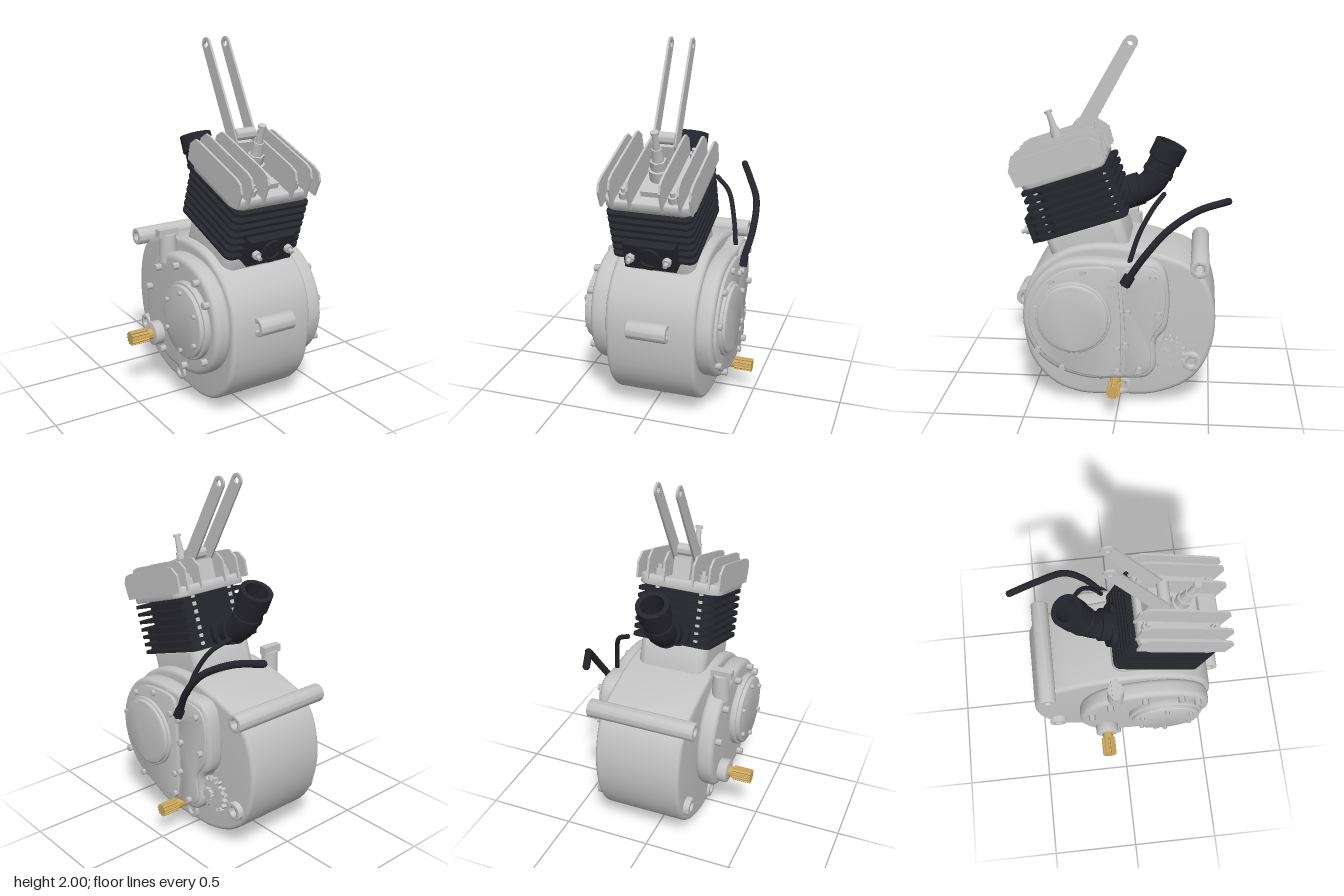
import * as THREE from 'three';
import { toCreasedNormals } from 'three/addons/utils/BufferGeometryUtils.js';

const mat = (name, color) => {
  const m = new THREE.MeshStandardMaterial({ color });
  m.name = name;
  return m;
};

export function createModel() {
  const metal = mat('cast metal', 0xc4c4c4);
  const black = mat('black enamel', 0x25252d);
  const brass = mat('brass', 0xcda95e);
  const root = new THREE.Group();
  root.name = 'engine';

  const add = (parent, name, geo, material, x = 0, y = 0, z = 0) => {
    const m = new THREE.Mesh(geo, material);
    m.name = name;
    m.position.set(x, y, z);
    parent.add(m);
    return m;
  };
  const box = (w, h, d) => new THREE.BoxGeometry(w, h, d);

  // Shapes lie in the side plane; points are given as [z, y]
  const smooth = (pts) => {
    const c = new THREE.CatmullRomCurve3(pts.map(([z, y]) => new THREE.Vector3(-z, y, 0)), true);
    return new THREE.Shape(c.getPoints(72).slice(0, -1).map((p) => new THREE.Vector2(p.x, p.y)));
  };
  const roundRect = (w, h, r) => {
    const s = new THREE.Shape(), a = w / 2, b = h / 2;
    s.absarc(a - r, b - r, r, 0, Math.PI / 2);
    s.absarc(-a + r, b - r, r, Math.PI / 2, Math.PI);
    s.absarc(-a + r, -b + r, r, Math.PI, Math.PI * 1.5);
    s.absarc(a - r, -b + r, r, Math.PI * 1.5, Math.PI * 2);
    return s;
  };
  const ring = (r, hole) => {
    const s = new THREE.Shape();
    s.absarc(0, 0, r, 0, Math.PI * 2);
    if (hole) s.holes.push(new THREE.Path().absarc(0, 0, hole, 0, Math.PI * 2, true));
    return s;
  };
  const gear = (rIn, rOut, n) => {
    const pts = [];
    for (let i = 0; i < n; i++) {
      [[0, rIn], [0.45, rIn], [0.55, rOut], [0.9, rOut]].forEach(([f, r]) => {
        const a = ((i + f) / n) * Math.PI * 2;
        pts.push(new THREE.Vector2(Math.cos(a) * r, Math.sin(a) * r));
      });
    }
    return new THREE.Shape(pts);
  };
  const extrude = (shape, depth, bevel, curveSegments = 20) => {
    const g = new THREE.ExtrudeGeometry(shape, {
      depth: depth - 2 * bevel, bevelEnabled: bevel > 0, bevelSize: bevel, bevelThickness: bevel,
      bevelOffset: -bevel, bevelSegments: 4, curveSegments,
    });
    return g.translate(0, 0, bevel);
  };
  // Extrusion along x from x0 to x1
  const sideways = (shape, x0, x1, bevel = 0) =>
    toCreasedNormals(extrude(shape, x1 - x0, bevel).rotateY(Math.PI / 2).translate(x0, 0, 0), 0.6);
  // Flat rounded slab standing on its origin
  const slab = (w, d, h, r, bevel = 0) =>
    toCreasedNormals(extrude(roundRect(w, d, r), h, bevel, 6).rotateX(-Math.PI / 2), 0.6);
  const bolt = (parent, x, y, z, len = 0.03, r = 0.018) =>
    add(parent, 'bolt', new THREE.CylinderGeometry(r, r, len, 6).rotateZ(Math.PI / 2), metal, x, y, z);

  // Crankcase
  add(root, 'crankcase', sideways(smooth([[0.53, 0.52], [0.5, 0.69], [0.41, 0.81], [0.25, 0.9], [0.08, 0.925],
    [-0.08, 0.91], [-0.25, 0.87], [-0.38, 0.82], [-0.47, 0.73], [-0.525, 0.52], [-0.49, 0.3], [-0.39, 0.15],
    [-0.2, 0.06], [0, 0.047], [0.22, 0.048], [0.37, 0.11], [0.49, 0.26]]), -0.207, 0.29, 0.025), metal);

  // Right-hand drive covers on the +x side
  add(root, 'driveCover', sideways(smooth([[0.515, 0.53], [0.46, 0.71], [0.33, 0.835], [0.16, 0.87], [-0.02, 0.86],
    [-0.2, 0.86], [-0.255, 0.8], [-0.265, 0.5], [-0.21, 0.42], [-0.205, 0.26], [-0.15, 0.2], [-0.02, 0.19],
    [0.14, 0.18], [0.33, 0.235], [0.46, 0.35]]), 0.28, 0.38, 0.025), metal);
  add(root, 'clutchCoverPlate', sideways(smooth([[0.48, 0.53], [0.43, 0.69], [0.31, 0.8], [0.16, 0.835], [0.01, 0.82],
    [-0.01, 0.68], [-0.02, 0.4], [0, 0.22], [0.15, 0.21], [0.32, 0.265], [0.43, 0.37]]), 0.37, 0.396, 0.008), metal);
  add(root, 'gearCoverPlate', sideways(smooth([[-0.03, 0.82], [-0.2, 0.83], [-0.245, 0.77], [-0.245, 0.54],
    [-0.18, 0.42], [-0.18, 0.27], [-0.13, 0.225], [-0.03, 0.22], [-0.04, 0.42], [-0.03, 0.66]]), 0.37, 0.39, 0.006), metal);
  add(root, 'clutchDisc', sideways(ring(0.19), 0.38, 0.428, 0.01), metal, 0, 0.55, 0.235);
  add(root, 'clutchDiscRim', sideways(ring(0.202), 0.38, 0.412, 0.006), metal, 0, 0.55, 0.235);
  [[0.35, 0.75], [0.18, 0.805], [0.03, 0.73], [0.44, 0.595], [0.43, 0.36], [0.3, 0.255], [0, 0.37], [0.0, 0.245],
    [-0.19, 0.785], [-0.04, 0.715], [-0.055, 0.585], [-0.22, 0.58], [-0.045, 0.4], [-0.12, 0.255]]
    .forEach(([z, y]) => bolt(root, 0.4, y, z));
  add(root, 'sprocket', sideways(gear(0.08, 0.102, 16), 0.33, 0.355), metal, 0, 0.34, -0.27);
  add(root, 'sprocketHub', sideways(gear(0.03, 0.036, 8), 0.28, 0.375), metal, 0, 0.34, -0.25);
  add(root, 'kickShaft', sideways(gear(0.029, 0.037, 12), 0.39, 0.49), brass, 0, 0.16, 0.015);
  add(root, 'kickShaftCore', sideways(ring(0.028), 0.26, 0.4), brass, 0, 0.16, 0.015);

  // Flywheel cover on the -x side
  add(root, 'flywheelCover', sideways(smooth([[0.51, 0.54], [0.46, 0.73], [0.33, 0.84], [0.15, 0.875], [-0.05, 0.84],
    [-0.18, 0.74], [-0.25, 0.58], [-0.25, 0.4], [-0.17, 0.27], [-0.02, 0.215], [0.16, 0.21], [0.34, 0.26],
    [0.46, 0.37]]), -0.302, -0.2, 0.03), metal);
  add(root, 'flywheelRim', sideways(ring(0.215), -0.335, -0.29, 0.006), metal, 0, 0.55, 0.245);
  add(root, 'flywheelDisc', sideways(ring(0.2), -0.357, -0.29, 0.008), metal, 0, 0.55, 0.245);
  for (let i = 0; i < 6; i++) {
    const a = (i + 0.5) * Math.PI / 3;
    bolt(root, -0.362, 0.55 + Math.sin(a) * 0.165, 0.245 + Math.cos(a) * 0.165, 0.025, 0.013);
  }
  [[0.43, 0.7], [0.33, 0.79], [0.12, 0.82], [-0.08, 0.75], [-0.19, 0.6], [-0.04, 0.27], [0.2, 0.265], [0.41, 0.37]]
    .forEach(([z, y]) => bolt(root, -0.315, y, z, 0.04, 0.02));
  add(root, 'outputCollar', sideways(ring(0.068), -0.355, -0.29, 0.006), metal, 0, 0.345, -0.105);
  add(root, 'outputShaftCore', sideways(ring(0.03), -0.4, -0.3), brass, 0, 0.345, -0.105);
  add(root, 'outputShaft', sideways(gear(0.032, 0.041, 12), -0.49, -0.385), brass, 0, 0.345, -0.105);
  add(root, 'fillerNeck', new THREE.CylinderGeometry(0.045, 0.05, 0.16, 24), metal, -0.27, 0.87, -0.045);
  add(root, 'fillerCap', box(0.12, 0.045, 0.045), metal, -0.275, 0.958, -0.045);

  // Mounting tubes and drain plug
  [[0.05, -0.27, 0.345, 0.82, -0.435], [0.052, -0.24, 0.32, 0.275, -0.4],
    [0.05, -0.22, 0.303, 0.11, -0.02], [0.05, -0.07, 0.15, 0.56, 0.54]]
    .forEach(([r, a, b, y, z]) => add(root, 'mountingTube', sideways(ring(r, r * 0.48), a, b, 0.004), metal, 0, y, z));
  add(root, 'drainPlug', new THREE.CylinderGeometry(0.03, 0.03, 0.05, 6), metal, 0.04, 0.025, 0.19);
  add(root, 'drainFlange', new THREE.CylinderGeometry(0.042, 0.042, 0.03, 20), metal, 0.04, 0.044, 0.19);

  // Cylinder, leaning forward
  const top = new THREE.Group();
  top.name = 'cylinder';
  top.position.set(0.04, 0.88, 0.165);
  top.rotation.x = 0.323;
  root.add(top);
  add(top, 'cylinderBase', slab(0.4, 0.43, 0.24, 0.06, 0.008), metal, 0, -0.12, 0);
  add(top, 'barrel', slab(0.38, 0.37, 0.32, 0.05), black, 0, 0.11, -0.015);
  for (let i = 0; i < 7; i++) add(top, 'barrelFin', slab(0.46, 0.51, 0.017, 0.04), black, 0, 0.125 + i * 0.044, -0.008);
  add(top, 'exhaustPort', box(0.28, 0.15, 0.16), black, 0, 0.18, 0.215);
  const port = sideways(ring(0.065, 0.045), 0, 0.02).rotateY(-Math.PI / 2);
  add(top, 'exhaustRing', port, black, 0, 0.18, 0.29);
  [-1, 1].forEach((s) => {
    add(top, 'exhaustStud', new THREE.CylinderGeometry(0.012, 0.012, 0.08, 10).rotateX(Math.PI / 2), metal, s * 0.1, 0.18, 0.305);
    add(top, 'exhaustNut', new THREE.CylinderGeometry(0.024, 0.024, 0.025, 6).rotateX(Math.PI / 2), metal, s * 0.1, 0.18, 0.308);
    [-0.2, 0.19].forEach((t) => {
      add(top, 'headStud', new THREE.CylinderGeometry(0.013, 0.013, 0.5, 10), metal, s * 0.13, 0.29, t);
      add(top, 'headNut', new THREE.CylinderGeometry(0.027, 0.027, 0.04, 6), metal, s * 0.13, 0.495, t);
    });
  });

  // Cylinder head with upright fins
  add(top, 'head', slab(0.485, 0.47, 0.06, 0.07, 0.01), metal, 0, 0.42, 0);
  [-0.24, -0.18, -0.085, 0.085, 0.18, 0.24].forEach((x, i) => {
    const outer = i === 0 || i === 5, h = outer ? 0.595 : 0.62;
    const f = new THREE.Shape([[-0.25, 0.45], [0.25, 0.45], [0.255, h - 0.05], [0.215, h - 0.005], [0.18, h],
      [-0.19, h], [-0.235, h - 0.01], [-0.26, h - 0.05]].map(([u, v]) => new THREE.Vector2(u, v)));
    add(top, 'headFin', sideways(f, x - 0.006, x + 0.006), metal);
  });
  add(top, 'headBlock', box(0.1, 0.06, 0.06), metal, 0, 0.48, 0.14);
  add(top, 'leverBracket', box(0.1, 0.13, 0.09), metal, 0, 0.53, -0.16);

  // Spark plug
  [[0.055, 0.055, 0.46, 0.54, 20], [0.045, 0.045, 0.54, 0.59, 6], [0.026, 0.032, 0.59, 0.66, 16],
    [0.014, 0.02, 0.66, 0.745, 12], [0.022, 0.022, 0.745, 0.76, 12]]
    .forEach(([a, b, lo, hi, n]) => add(top, 'sparkPlug', new THREE.CylinderGeometry(a, b, hi - lo, n), metal, 0, (lo + hi) / 2, 0));

  // Twin hanger straps with pivot
  const strap = new THREE.Shape();
  const ang = Math.atan2(0.465, 0.26), px = 0.04, py = 1.965, bx = -0.22, by = 1.5, r = 0.037;
  strap.absarc(px, py, r, ang - Math.PI / 2, ang + Math.PI / 2);
  strap.absarc(bx, by, 0.042, ang + Math.PI / 2, ang + Math.PI * 1.5);
  strap.holes.push(new THREE.Path().absarc(px, py, 0.018, 0, Math.PI * 2, true));
  [-0.02, 0.1].forEach((x) => add(root, 'hangerStrap', sideways(strap, x - 0.006, x + 0.006), metal));
  add(root, 'hangerPivot', sideways(ring(0.032), -0.02, 0.1), metal, 0, 1.525, 0.235);

  // Intake elbow with open socket
  const v = (a) => new THREE.Vector3(...a);
  const tube = (name, pts, rad, seg = 40) =>
    add(root, name, new THREE.TubeGeometry(new THREE.CatmullRomCurve3(pts.map(v)), seg, rad, 18), black);
  tube('intakeElbow', [[0.04, 1.12, 0.02], [0.04, 1.165, -0.09], [0.04, 1.22, -0.165], [0.04, 1.3, -0.21], [0.04, 1.36, -0.235]], 0.075);
  add(top, 'intakeFlange', slab(0.24, 0.15, 0.03, 0.06).rotateX(-Math.PI / 2), black, 0, 0.2, -0.27);
  add(top, 'intakeCollar', new THREE.CylinderGeometry(0.09, 0.09, 0.06, 24).rotateX(Math.PI / 2), black, 0, 0.2, -0.32);
  const socket = new THREE.LatheGeometry([[0.001, 0.02], [0.064, 0.02], [0.064, 0.185], [0.09, 0.185], [0.09, 0.09],
    [0.079, 0.085], [0.079, 0.03], [0.084, 0.025], [0.084, 0]].map(([a, b]) => new THREE.Vector2(a, b)), 32);
  const sock = add(root, 'intakeSocket', toCreasedNormals(socket.toNonIndexed(), 0.6), black, 0.04, 1.262, -0.19);
  sock.material = black;
  black.side = THREE.DoubleSide;
  sock.rotation.x = -0.43;

  // Hoses and their fitting
  const hose = (name, pts, rad) => {
    tube(name, pts, rad, 48);
    [pts[0], pts[pts.length - 1]].forEach((p) => add(root, name + 'End', new THREE.SphereGeometry(rad, 14, 8), black, ...p));
  };
  hose('breatherHose', [[0.275, 1.18, -0.575], [0.345, 1.145, -0.42], [0.42, 1.06, -0.27], [0.43, 0.92, -0.15], [0.4, 0.77, -0.055]], 0.019);
  hose('fuelHose', [[0.2, 1.19, -0.235], [0.28, 1.13, -0.18], [0.33, 1.0, -0.11], [0.355, 0.86, -0.065]], 0.013);
  const fit = add(root, 'hoseFitting', new THREE.CylinderGeometry(0.03, 0.03, 0.06, 6), black, 0.4, 0.77, -0.055);
  fit.rotation.x = -0.5;
  return root;
}
